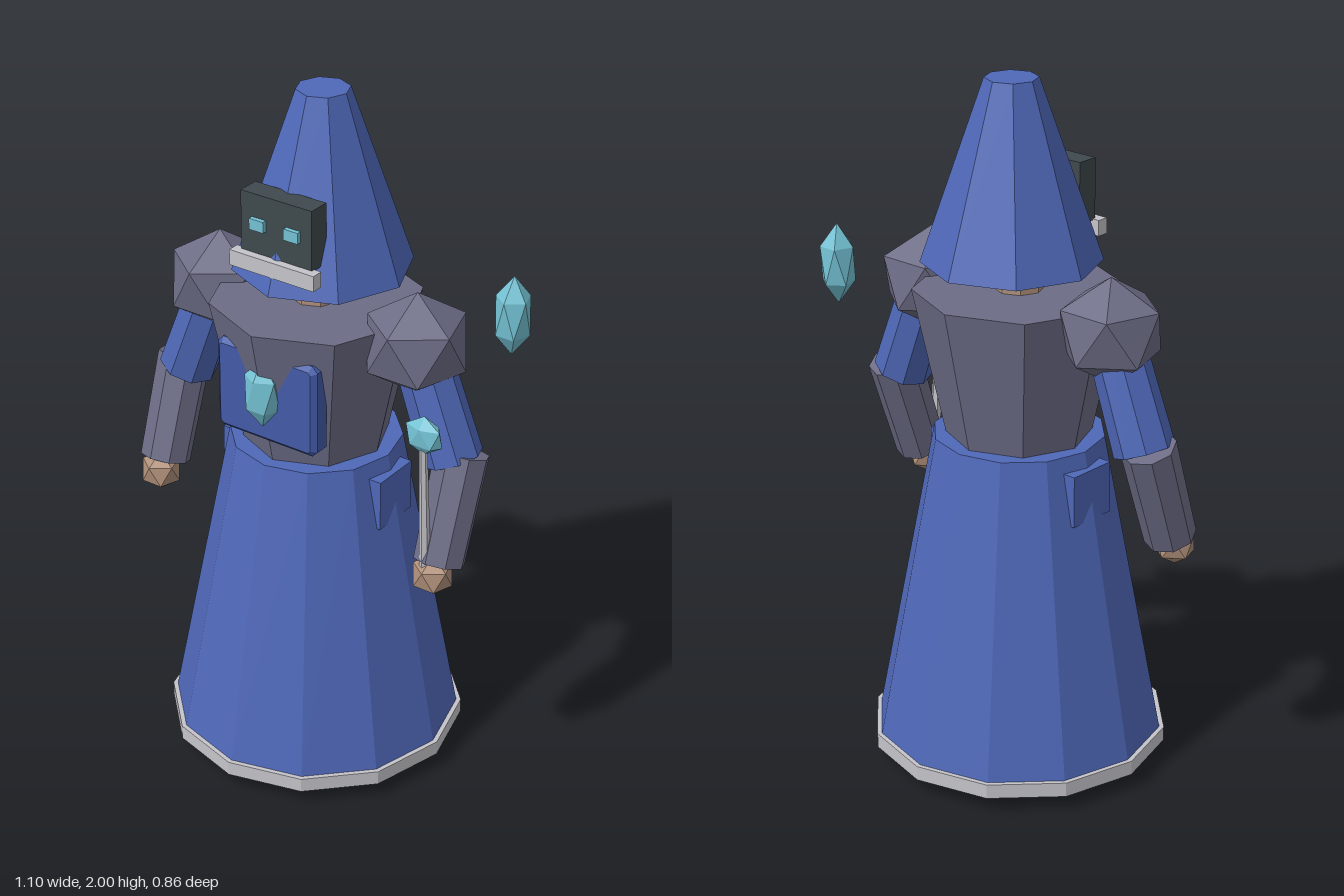
import * as THREE from 'three';

const paint = (name, color) => {
  const m = new THREE.MeshStandardMaterial({ color });
  m.name = name;
  m.flatShading = true;
  return m;
};

export function createModel() {
  const group = new THREE.Group();
  group.name = 'robedFigure';
  const blue = paint('robe blue', 0x4f68b8);
  const plateBlue = paint('plate blue', 0x435ba8);
  const slate = paint('slate grey', 0x6c6c86);
  const silver = paint('silver', 0xc4c4ca);
  const dark = paint('dark grey', 0x3f494d);
  const cyan = paint('crystal cyan', 0x74c2d4);
  const skin = paint('skin', 0xb0907a);

  const add = (name, geometry, material, x = 0, y = 0, z = 0) => {
    const mesh = new THREE.Mesh(geometry, material);
    mesh.name = name;
    mesh.position.set(x, y, z);
    group.add(mesh);
    return mesh;
  };
  // Upright tapered prism between two heights
  const prism = (name, rTop, rBottom, y0, y1, sides, material, z = 0) =>
    add(name, new THREE.CylinderGeometry(rTop, rBottom, y1 - y0, sides), material, 0, (y0 + y1) / 2, z);
  // Tapered prism between two points
  const limb = (name, a, b, rA, rB, sides, material) => {
    const from = new THREE.Vector3(...a), to = new THREE.Vector3(...b);
    const dir = to.clone().sub(from);
    const mesh = add(name, new THREE.CylinderGeometry(rB, rA, dir.length(), sides), material);
    mesh.position.copy(from).lerp(to, 0.5);
    mesh.quaternion.setFromUnitVectors(new THREE.Vector3(0, 1, 0), dir.normalize());
    return mesh;
  };
  // Icosahedron standing on a vertex, stretched on each axis
  const gem = (name, rx, ry, rz, material, x, y, z) => {
    const g = new THREE.IcosahedronGeometry(1, 0);
    g.rotateX(-Math.atan((1 + Math.sqrt(5)) / 2));
    g.scale(rx, ry, rz);
    return add(name, g, material, x, y, z);
  };
  const box = (name, w, h, d, material, x, y, z) =>
    add(name, new THREE.BoxGeometry(w, h, d), material, x, y, z);
  // Box with chamfered edges
  const chamferBox = (name, w, h, d, c, material, x, y, z) => {
    const a = w / 2 - c, b = h / 2 - c, k = c * 0.6;
    const s = new THREE.Shape([
      [-a + k, -b], [a - k, -b], [a, -b + k], [a, b - k],
      [a - k, b], [-a + k, b], [-a, b - k], [-a, -b + k],
    ].map(p => new THREE.Vector2(...p)));
    const g = new THREE.ExtrudeGeometry(s, {
      depth: d - 2 * c, bevelEnabled: true, bevelSize: c, bevelThickness: c, bevelSegments: 1,
    });
    g.translate(0, 0, c - d / 2);
    return add(name, g, material, x, y, z);
  };

  // Robe, hem, torso, neck and hat
  prism('skirt', 0.243, 0.415, 0.085, 0.985, 12, blue);
  prism('hem', 0.428, 0.428, 0.045, 0.088, 12, silver);
  prism('torso', 0.295, 0.2, 0.96, 1.405, 8, slate);
  prism('neck', 0.07, 0.07, 1.38, 1.52, 8, skin);
  prism('hat', 0.074, 0.25, 1.49, 2, 8, blue, -0.03);

  // Face mask with a bar under it
  box('mask', 0.23, 0.175, 0.065, dark, 0, 1.668, 0.148);
  box('maskBar', 0.275, 0.045, 0.035, silver, 0, 1.562, 0.187);

  // Breastplate and its crystal
  chamferBox('breastplate', 0.33, 0.275, 0.07, 0.014, plateBlue, 0, 1.193, 0.203);
  gem('chestCrystal', 0.058, 0.104, 0.045, cyan, -0.005, 1.21, 0.242);

  // Paired parts
  for (const s of [-1, 1]) {
    box('eye', 0.046, 0.032, 0.016, cyan, s * 0.056, 1.672, 0.186);
    chamferBox('foot', 0.2, 0.07, 0.36, 0.012, dark, s * 0.163, 0.035, 0.08);
    box('hipPouch', 0.06, 0.15, 0.15, blue, s * 0.24, 0.865, 0);
    gem('shoulder', 0.153, 0.15, 0.157, slate, s * 0.328, 1.362, 0);
    limb('upperArm', [s * 0.335, 1.36, 0], [s * 0.452, 1.05, 0], 0.078, 0.085, 8, blue);
    limb('forearm', [s * 0.475, 1.07, -0.012], [s * 0.475, 0.775, 0.09], 0.077, 0.073, 8, slate);
    gem('hand', 0.062, 0.062, 0.062, skin, s * 0.472, 0.745, 0.115);
  }

  // Wand in the left hand
  limb('wand', [0.46, 0.76, 0.135], [0.46, 1.17, 0.158], 0.016, 0.011, 6, silver);
  gem('wandCrystal', 0.062, 0.058, 0.028, cyan, 0.46, 1.195, 0.156);

  // Crystal floating beside the shoulder
  gem('floatingCrystal', 0.055, 0.118, 0.055, cyan, 0.5, 1.41, -0.203);

  return group;
}
